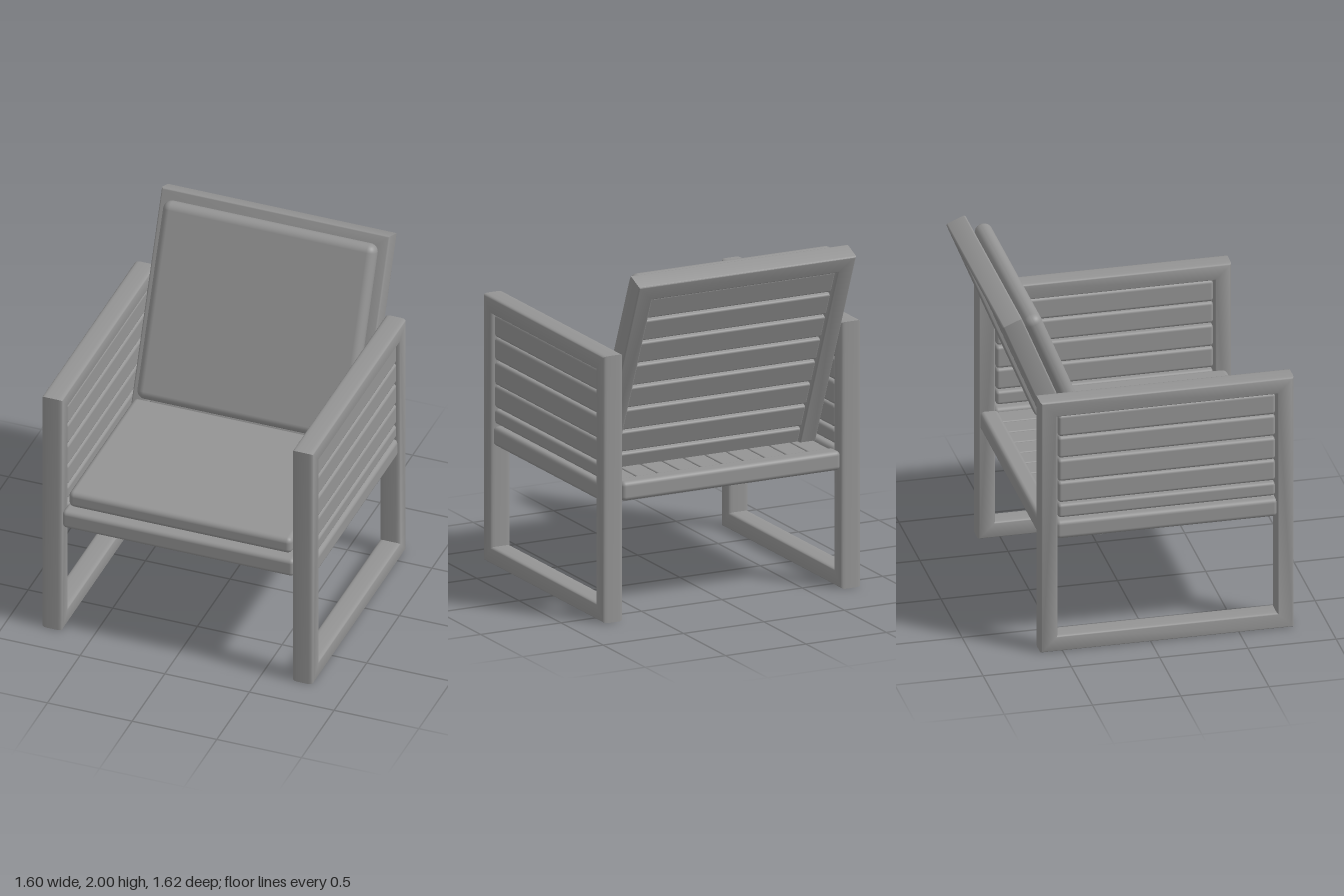
import * as THREE from 'three';
import { RoundedBoxGeometry } from 'three/addons/geometries/RoundedBoxGeometry.js';
import { toCreasedNormals } from 'three/addons/utils/BufferGeometryUtils.js';

const material = new THREE.MeshStandardMaterial({ color: 0x949494 });

function add(parent, name, geometry, x = 0, y = 0, z = 0) {
  const mesh = new THREE.Mesh(geometry, material);
  mesh.name = name;
  mesh.position.set(x, y, z);
  parent.add(mesh);
  return mesh;
}

// Soft-edged bar given by its minimum and maximum corners
function bar(parent, name, [x0, y0, z0], [x1, y1, z1], radius = 0.012, segments = 3) {
  const geometry = new RoundedBoxGeometry(x1 - x0, y1 - y0, z1 - z0, segments, radius);
  return add(parent, name, geometry, (x0 + x1) / 2, (y0 + y1) / 2, (z0 + z1) / 2);
}

// Rectangular frame with a rectangular opening, centred on its own depth
function frameGeometry(width, height, border, depth, bevelSize, bevelThickness) {
  const rect = (Type, w, h) => new Type([
    new THREE.Vector2(-w / 2, -h / 2), new THREE.Vector2(w / 2, -h / 2),
    new THREE.Vector2(w / 2, h / 2), new THREE.Vector2(-w / 2, h / 2),
  ]);
  const shape = rect(THREE.Shape, width, height);
  shape.holes.push(rect(THREE.Path, width - 2 * border, height - 2 * border));
  const geometry = new THREE.ExtrudeGeometry(shape, {
    depth: depth - 2 * bevelThickness,
    bevelSize, bevelThickness, bevelOffset: -bevelSize, bevelSegments: 3,
  });
  geometry.translate(0, 0, -depth / 2 + bevelThickness);
  return toCreasedNormals(geometry, 0.7);
}

function createArm(side) {
  const arm = new THREE.Group();
  arm.name = side > 0 ? 'leftArm' : 'rightArm';

  // Closed loop of posts, armrest and floor runner
  const loop = add(arm, 'armFrame', frameGeometry(1.435, 1.53, 0.097, 0.12, 0.01, 0.025), side * 0.74, 0.765, 0.0925);
  loop.rotation.y = Math.PI / 2;

  // Seat-height rail and the closely set slats above it
  const center = side * 0.735;
  bar(arm, 'sideRail', [center - 0.055, 0.68, -0.535], [center + 0.055, 0.79, 0.72], 0.025);
  const slats = [[0.808, 0.89], [0.901, 1.028], [1.031, 1.164], [1.173, 1.302], [1.305, 1.434]];
  for (const [y0, y1] of slats) {
    bar(arm, 'armSlat', [center - 0.05, y0, -0.522], [center + 0.05, y1, 0.708], 0.018);
  }
  return arm;
}

function createSeat() {
  const seat = new THREE.Group();
  seat.name = 'seat';
  bar(seat, 'frontRail', [-0.685, 0.68, 0.7], [0.685, 0.79, 0.805], 0.025);
  bar(seat, 'backRail', [-0.68, 0.68, -0.62], [0.68, 0.79, -0.515], 0.025);

  // Slats running front to back
  const count = 10, pitch = 1.33 / count;
  for (let i = 0; i < count; i++) {
    const x = -0.665 + i * pitch;
    bar(seat, 'seatSlat', [x + 0.003, 0.725, -0.53], [x + pitch - 0.003, 0.78, 0.715], 0.008);
  }
  bar(seat, 'seatCushion', [-0.658, 0.805, -0.24], [0.658, 0.905, 0.775], 0.03, 4);
  return seat;
}

function createBackrest() {
  // Local origin is the upper front edge; the whole back leans rearwards
  const back = new THREE.Group();
  back.name = 'backrest';
  back.position.set(0, 2.0, -0.702);
  back.rotation.x = -0.39;

  const height = 1.438, border = 0.1, depth = 0.118;
  add(back, 'backFrame', frameGeometry(1.35, height, border, depth, 0.01, 0.01), 0, -height / 2, -depth / 2);

  // Horizontal slats inside the frame
  const count = 8, pitch = (height - 2 * border) / count;
  for (let i = 0; i < count; i++) {
    const y = -border - i * pitch;
    bar(back, 'backSlat', [-0.58, y - pitch + 0.008, -0.095], [0.58, y - 0.008, -0.025], 0.012);
  }
  bar(back, 'backCushion', [-0.63, -1.18, 0.0], [0.63, -0.05, 0.1], 0.048, 5);
  return back;
}

export function createModel() {
  const chair = new THREE.Group();
  chair.name = 'slattedArmchair';
  for (const side of [-1, 1]) chair.add(createArm(side));
  chair.add(createSeat(), createBackrest());
  return chair;
}
